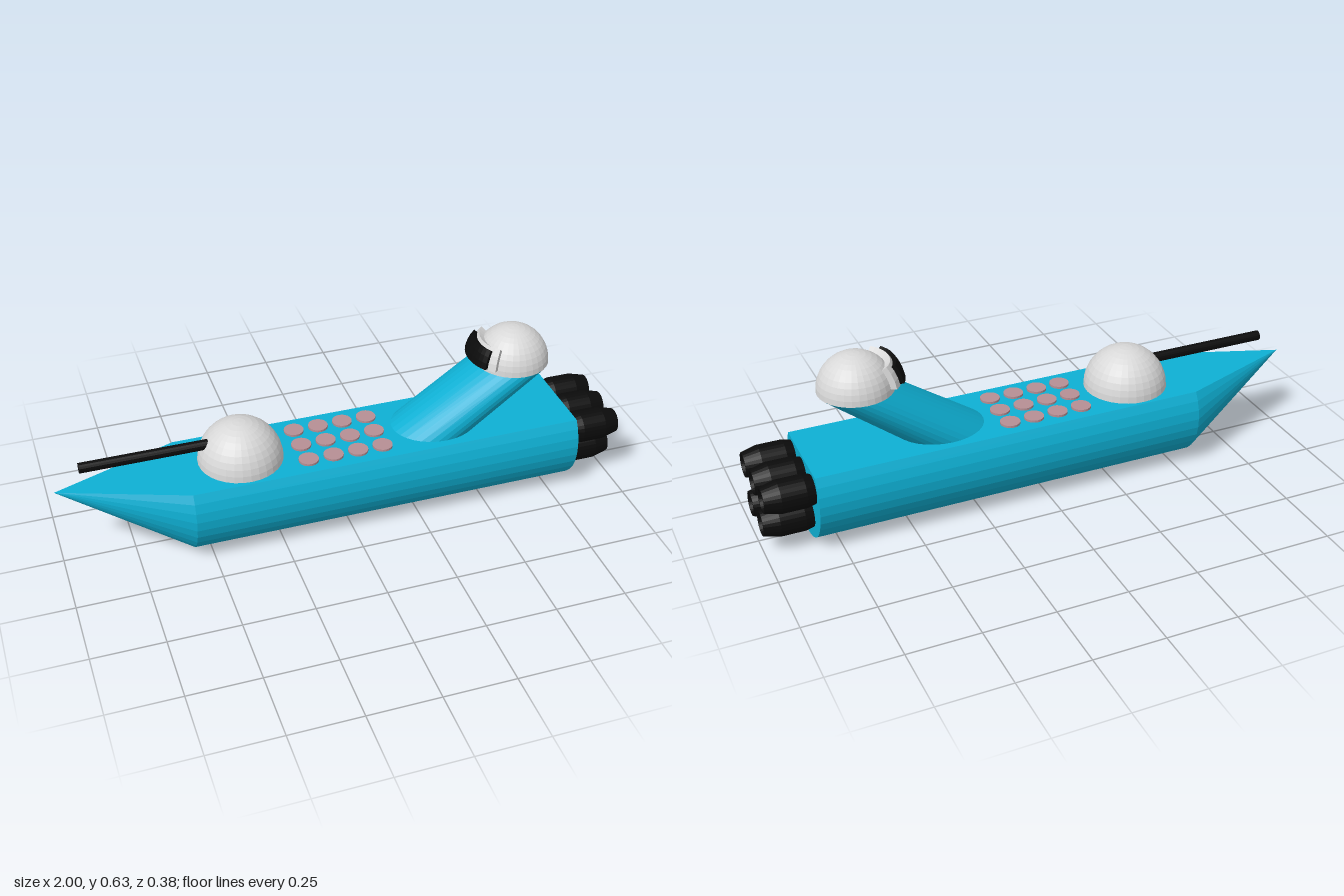
import * as THREE from 'three';

const material = (name, color, side = THREE.FrontSide) => {
  const m = new THREE.MeshStandardMaterial({ color, side });
  m.name = name;
  return m;
};

// Give every facet its own normal
function faceted(geometry) {
  const g = geometry.index ? geometry.toNonIndexed() : geometry;
  g.computeVertexNormals();
  return g;
}

export function createModel() {
  const model = new THREE.Group();
  model.name = 'spaceship';
  const blue = material('hull blue', 0x0eb0d4, THREE.DoubleSide);
  const white = material('dome white', 0xd8d8d8, THREE.DoubleSide);
  const black = material('engine black', 0x0b0b0b, THREE.DoubleSide);
  const pink = material('button pink', 0xb68f94);

  const add = (name, geometry, mat, x = 0, y = 0, z = 0, parent = model) => {
    const mesh = new THREE.Mesh(faceted(geometry), mat);
    mesh.name = name;
    mesh.position.set(x, y, z);
    parent.add(mesh);
    return mesh;
  };

  // Hull section: a circle cut flat at deck height
  const R = 0.19, deck = 0.295, bowX = -0.565, sternX = 0.83;
  const cut = Math.asin((deck - R) / R);
  const ring = [];
  for (let i = 0; i <= 24; i++) {
    const a = Math.PI - cut + (i / 24) * (Math.PI + 2 * cut);
    ring.push(new THREE.Vector2(R * Math.cos(a), R + R * Math.sin(a)));
  }
  const body = new THREE.ExtrudeGeometry(new THREE.Shape(ring), { depth: sternX - bowX, bevelEnabled: false });
  body.rotateY(Math.PI / 2);
  add('hull', body, blue, bowX);

  // Nose: the section drawn to a point at deck height
  const nose = [];
  ring.forEach((p, i) => {
    const q = ring[(i + 1) % ring.length];
    nose.push(-1, deck, 0, bowX, q.y, -q.x, bowX, p.y, -p.x);
  });
  const noseGeometry = new THREE.BufferGeometry();
  noseGeometry.setAttribute('position', new THREE.Float32BufferAttribute(nose, 3));
  add('nose', noseGeometry, blue);

  // Domes
  const dome = (r) => new THREE.SphereGeometry(r, 32, 10, 0, Math.PI * 2, 0, Math.PI / 2);
  add('turretDome', dome(0.148), white, -0.362, deck, 0);
  const gun = new THREE.CylinderGeometry(0.018, 0.018, 0.45, 16).rotateZ(Math.PI / 2);
  add('gunBarrel', gun, black, -0.685, 0.375, 0);

  // Deck buttons
  const buttons = new THREE.Group();
  buttons.name = 'deckButtons';
  model.add(buttons);
  for (let i = 0; i < 4; i++) {
    for (let j = -1; j <= 1; j++) {
      add('button', new THREE.CylinderGeometry(0.035, 0.035, 0.012, 20), pink,
        -0.145 + i * 0.089, deck + 0.002, j * 0.09, buttons);
    }
  }

  // Slanted neck: a cylinder sheared back, wider along x at its foot
  const neckTop = 0.5, headX = 0.63, headR = 0.13, h = neckTop - deck;
  const neck = new THREE.CylinderGeometry(headR, headR, h, 32);
  const pos = neck.attributes.position;
  for (let i = 0; i < pos.count; i++) {
    const t = pos.getY(i) / h + 0.5;
    pos.setX(i, pos.getX(i) * THREE.MathUtils.lerp(1.19, 1, t) + THREE.MathUtils.lerp(0.345, headX, t));
  }
  add('neck', neck, blue, 0, deck + h / 2, 0);

  // Bridge head and its visor
  const head = new THREE.Group();
  head.name = 'bridge';
  head.position.set(headX, neckTop, 0);
  model.add(head);
  add('bridgeDome', dome(headR), white, 0, 0, 0, head);

  // Curved band around the front of the bridge, closed at both ends
  const band = (name, mat, inner, outer, low, high, half) => {
    const profile = [];
    const point = (r, deg) => {
      const a = THREE.MathUtils.degToRad(deg);
      profile.push(new THREE.Vector2(r * Math.cos(a), r * Math.sin(a)));
    };
    for (let i = 0; i <= 3; i++) point(outer, low + (high - low) * i / 3);
    for (let i = 3; i >= 0; i--) point(inner, low + (high - low) * i / 3);
    const start = 1.5 * Math.PI - half;
    add(name, new THREE.LatheGeometry([...profile, profile[0]], 10, start, half * 2), mat, 0, 0, 0, head);
    for (const phi of [start, start + half * 2]) {
      const cap = new THREE.ShapeGeometry(new THREE.Shape(profile)).rotateY(phi - Math.PI / 2);
      add(name + 'End', cap, mat, 0, 0, 0, head);
    }
  };
  band('visorFrame', white, 0.12, 0.153, 9, 40, 0.78);
  band('visor', black, 0.14, 0.167, 10.5, 35, 0.57);

  // Engines with hollow, tapered nozzles
  const profile = [[0, 0], [0.05, 0], [0.057, 0.03], [0.057, 0.115], [0.043, 0.17], [0.037, 0.17], [0.03, 0.12], [0, 0.12]]
    .map(([r, y]) => new THREE.Vector2(r, y));
  const engines = [[0.232, -0.117], [0.232, 0], [0.232, 0.117], [0.11, -0.064], [0.11, 0.064]];
  for (const [y, z] of engines) {
    add('engine', new THREE.LatheGeometry(profile, 28).rotateZ(-Math.PI / 2), black, sternX, y, z);
  }
  return model;
}
